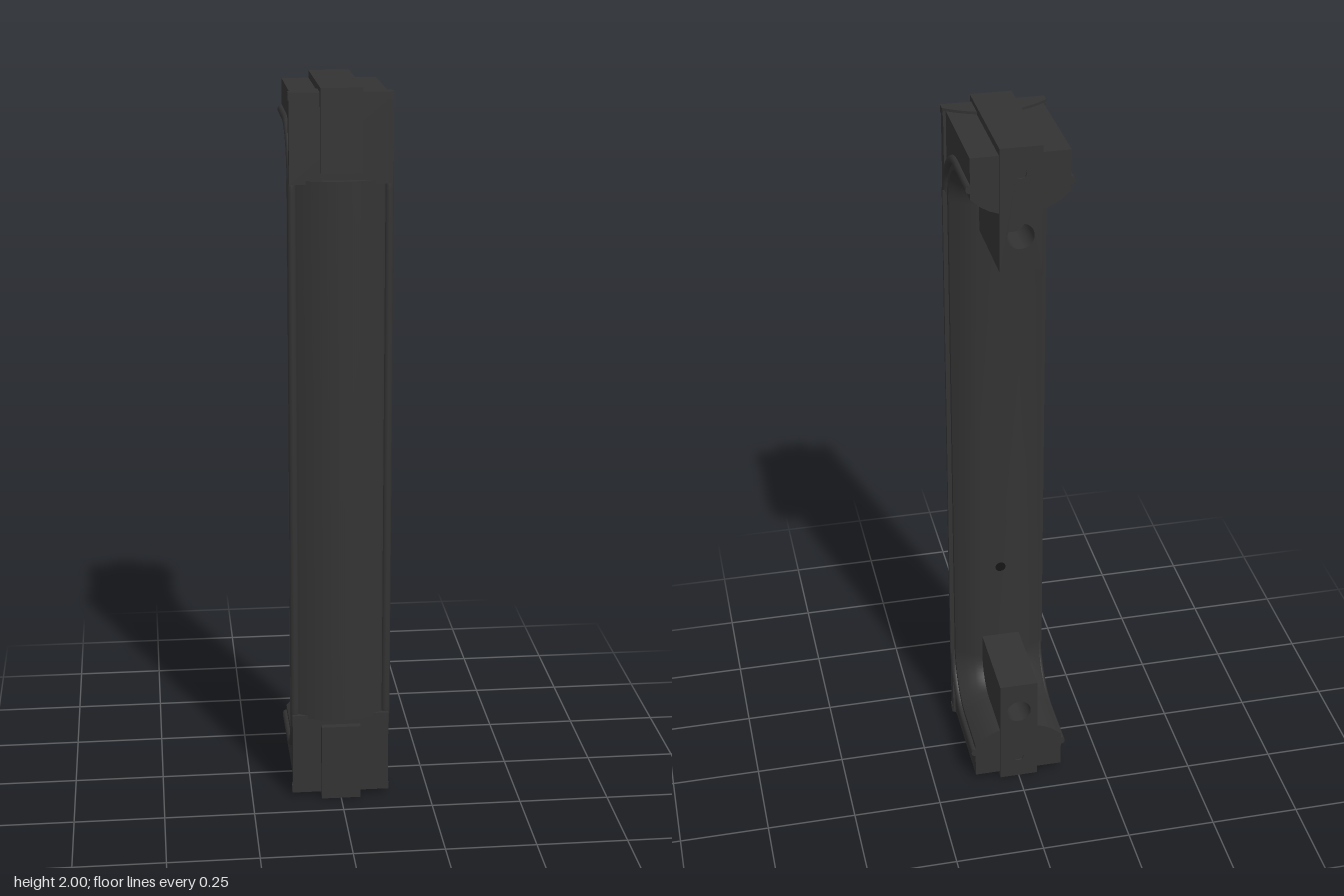
import * as THREE from 'three';
import { toCreasedNormals } from 'three/addons/utils/BufferGeometryUtils.js';

const dark = new THREE.MeshStandardMaterial({ color: 0x333333 });
const black = new THREE.MeshStandardMaterial({ color: 0x151515 });

function add(parent, name, geometry, material = dark) {
  const mesh = new THREE.Mesh(geometry, material);
  mesh.name = name;
  parent.add(mesh);
  return mesh;
}

function box(parent, name, x, y0, y1, z0, z1) {
  const g = new THREE.BoxGeometry(2 * x, y1 - y0, z1 - z0);
  return add(parent, name, g.translate(0, (y0 + y1) / 2, (z0 + z1) / 2));
}

// C-shaped inner outline as (z, y) points, pushed outward by d
function outline(d) {
  const r = 0.09 + d, top = [new THREE.Vector2(-0.175, 1.825 + d)];
  for (let i = 0; i <= 14; i++) {
    const a = Math.PI / 2 * (1 - i / 14);
    top.push(new THREE.Vector2(-0.02 + r * Math.cos(a), 1.735 + r * Math.sin(a)));
  }
  const bottom = top.map(p => new THREE.Vector2(p.x, 2 - p.y)).reverse();
  return [...top, ...bottom];
}

// Rounded inner band: a convex profile of (x, d) swept along the outline
function innerBand() {
  const half = [[0.055, 0], [0.08, 0.009], [0.105, 0.024], [0.128, 0.045], [0.128, 0.06]];
  const profile = [...half.map(([x, d]) => [-x, d]).reverse(), ...half];
  const n = profile.length;
  const rails = profile.map(([, d]) => outline(d));
  const m = rails[0].length;
  const pos = [], idx = [];
  for (let i = 0; i < m; i++) {
    for (let j = 0; j < n; j++) pos.push(profile[j][0], rails[j][i].y, rails[j][i].x);
  }
  for (let i = 0; i < m - 1; i++) {
    for (let j = 0; j < n; j++) {
      const a = i * n + j, b = i * n + (j + 1) % n;
      idx.push(a, b, a + n, b, b + n, a + n);
    }
  }
  const e = (m - 1) * n;
  for (let k = 1; k < n - 1; k++) idx.push(0, k + 1, k, e, e + k, e + k + 1);
  const g = new THREE.BufferGeometry();
  g.setAttribute('position', new THREE.Float32BufferAttribute(pos, 3));
  g.setIndex(idx);
  return toCreasedNormals(g, 0.6);
}

// Outer C-shaped body, extruded across the width
function body() {
  const shape = new THREE.Shape([
    ...outline(0.05),
    new THREE.Vector2(-0.175, 0.02), new THREE.Vector2(0.135, 0.02),
    new THREE.Vector2(0.135, 1.98), new THREE.Vector2(-0.175, 1.98),
  ]);
  const g = new THREE.ExtrudeGeometry(shape, { depth: 0.256, bevelEnabled: false });
  return toCreasedNormals(g.translate(0, 0, -0.128).rotateY(-Math.PI / 2), 0.6);
}

// Bowed front of the grip
function gripFront() {
  const shape = new THREE.Shape();
  shape.absarc(0, -0.041, 0.221, Math.PI / 2 - 0.686, Math.PI / 2 + 0.686, false);
  shape.closePath();
  const g = new THREE.ExtrudeGeometry(shape, { depth: 1.52, bevelEnabled: false, curveSegments: 28 });
  return toCreasedNormals(g.rotateX(Math.PI / 2).translate(0, 1.76, 0), 0.5);
}

// Mounting block with two blind holes in its back
function mountBlock() {
  const s = new THREE.Shape();
  s.moveTo(-0.055, 1.665).lineTo(0.055, 1.665).lineTo(0.055, 2).lineTo(-0.055, 2).closePath();
  for (const [y, r] of [[1.76, 0.035], [1.93, 0.014]]) {
    const hole = new THREE.Path();
    hole.absarc(0, y, r, 0, Math.PI * 2, true);
    s.holes.push(hole);
  }
  const g = new THREE.ExtrudeGeometry(s, { depth: 0.1, bevelEnabled: false, curveSegments: 16 });
  return toCreasedNormals(g.translate(0, 0, -0.18), 0.6);
}

function mountEnd() {
  const end = new THREE.Group();
  end.name = 'mountEnd';
  add(end, 'mountBlock', mountBlock());
  box(end, 'mountCore', 0.055, 1.665, 2, -0.08, 0.075);
  box(end, 'frontBlock', 0.055, 1.78, 2, 0.075, 0.179);
  // End cap with a bowed back edge
  const s = new THREE.Shape();
  s.moveTo(-0.137, 0.16).lineTo(-0.137, 0.135);
  s.quadraticCurveTo(0, 0.03, 0.137, 0.135).lineTo(0.137, 0.16).closePath();
  const cap = new THREE.ExtrudeGeometry(s, { depth: 0.02, bevelEnabled: false, curveSegments: 16 });
  add(end, 'endCap', toCreasedNormals(cap.rotateX(Math.PI / 2).translate(0, 1.987, 0), 0.6));
  box(end, 'endFace', 0.135, 1.75, 1.98, 0.13, 0.16);
  return end;
}

export function createModel() {
  const model = new THREE.Group();
  model.name = 'pullHandle';
  add(model, 'body', body());
  add(model, 'innerBand', innerBand());
  add(model, 'gripFront', gripFront());

  // Raised bead following the outline on both sides
  for (const side of [-1, 1]) {
    const path = new THREE.CurvePath();
    const pts = outline(0.072).map(p => new THREE.Vector3(side * 0.128, p.y, p.x));
    for (let i = 1; i < pts.length; i++) path.add(new THREE.LineCurve3(pts[i - 1], pts[i]));
    add(model, 'sideBead', new THREE.TubeGeometry(path, 160, 0.012, 10, false));
    for (const p of [pts[0], pts[pts.length - 1]]) {
      const disc = new THREE.CircleGeometry(0.012, 10).rotateY(Math.PI);
      add(model, 'beadEnd', disc.translate(p.x, p.y, p.z));
    }
  }

  // Matching ends, the lower one mirrored
  model.add(mountEnd());
  const lower = mountEnd();
  lower.rotation.z = Math.PI;
  lower.position.y = 2;
  model.add(lower);

  // Small screw hole in the back of the grip
  const hole = new THREE.CircleGeometry(0.015, 16).rotateY(Math.PI).translate(0, 0.58, 0.069);
  add(model, 'screwHole', hole, black);
  return model;
}
